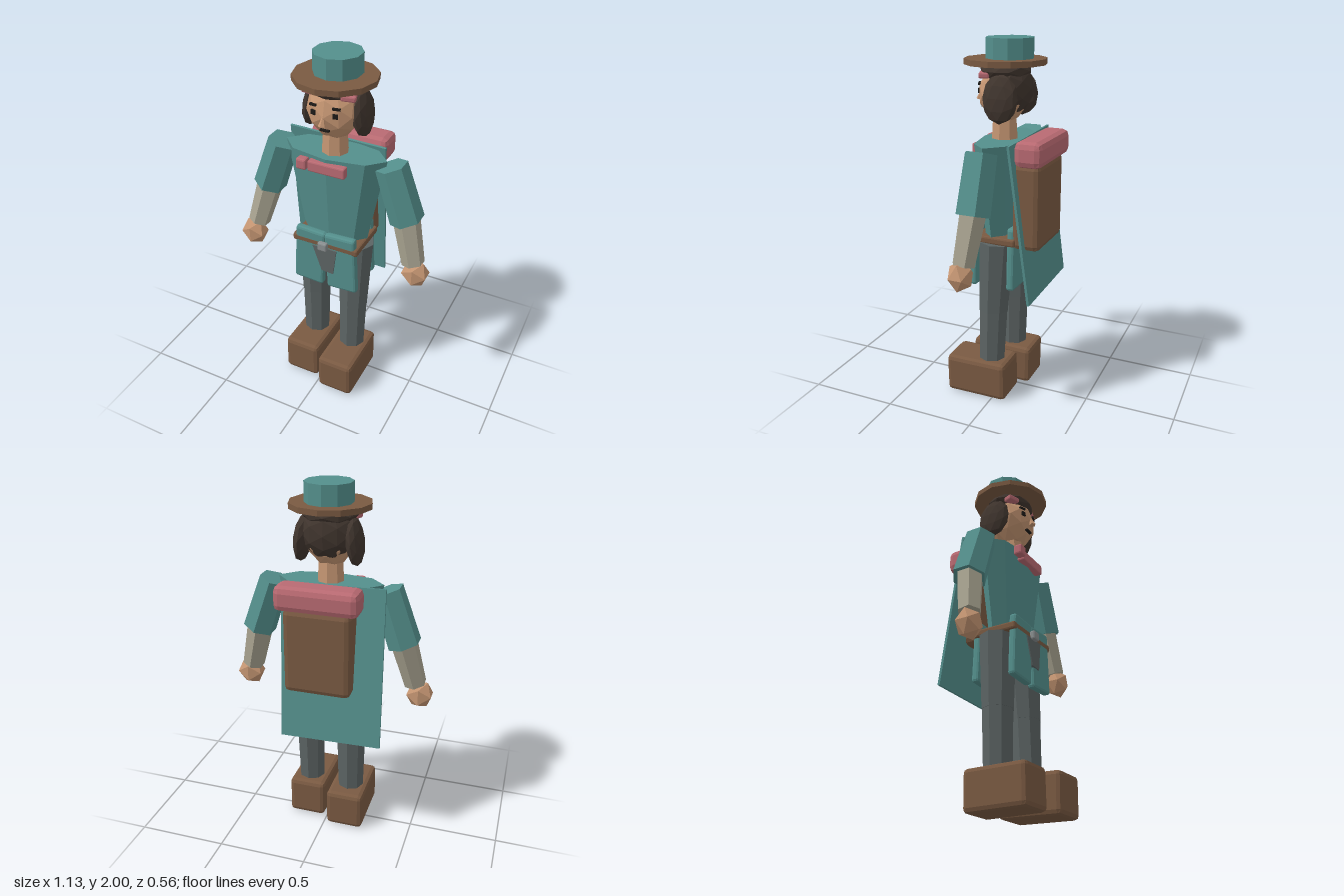
import * as THREE from 'three';
import { RoundedBoxGeometry } from 'three/addons/geometries/RoundedBoxGeometry.js';

const mat = (color) => new THREE.MeshStandardMaterial({ color, flatShading: true });
const TEAL = mat(0x548f8c), BROWN = mat(0x7a5a42), SKIN = mat(0xc49572), PINK = mat(0xb96a72);
const PALE = mat(0xa8a390), GREY = mat(0x5c6464), HAIR = mat(0x40352e), DARK = mat(0x1c1a18);
const METAL = mat(0x8a8f90);

export function createModel() {
  const model = new THREE.Group();
  model.name = 'traveller';

  const add = (name, geometry, material, pos, rot = [0, 0, 0], scale = [1, 1, 1]) => {
    const mesh = new THREE.Mesh(geometry, material);
    mesh.name = name;
    mesh.position.set(...pos);
    mesh.rotation.set(...rot);
    mesh.scale.set(...scale);
    model.add(mesh);
    return mesh;
  };
  // Box with chamfered edges
  const block = (name, material, size, pos, bevel, rot) =>
    add(name, new RoundedBoxGeometry(...size, 1, bevel), material, pos, rot);
  const box = (name, material, size, pos, rot) =>
    add(name, new THREE.BoxGeometry(...size), material, pos, rot);
  const ball = (name, material, radii, pos, detail = 1, rot) =>
    add(name, new THREE.IcosahedronGeometry(1, detail), material, pos, rot, radii);
  // Tapered limb running between two points
  const limb = (name, material, from, to, r0, r1, sides) => {
    const a = new THREE.Vector3(...from), b = new THREE.Vector3(...to);
    const mesh = add(name, new THREE.CylinderGeometry(r0, r1, a.distanceTo(b), sides), material,
      a.clone().add(b).multiplyScalar(0.5).toArray());
    mesh.quaternion.setFromUnitVectors(new THREE.Vector3(0, 1, 0), a.sub(b).normalize());
    return mesh;
  };

  // Hat
  add('hatCrown', new THREE.CylinderGeometry(0.127, 0.127, 0.115, 10), TEAL, [0, 1.9425, -0.02]);
  add('hatBrim', new THREE.CylinderGeometry(0.217, 0.217, 0.03, 12), BROWN, [0, 1.88, 0.004]);

  // Head: a faceted ball narrowing to the chin
  const headGeo = new THREE.IcosahedronGeometry(1, 1);
  const p = headGeo.attributes.position;
  for (let i = 0; i < p.count; i++) {
    const k = p.getY(i) < -0.4 ? 0.9 : 1;
    p.setXYZ(i, p.getX(i) * 0.147 * k, p.getY(i) * 0.16, p.getZ(i) * 0.135 * k);
  }
  headGeo.computeVertexNormals();
  add('head', headGeo, SKIN, [0, 1.715, 0.01]);
  limb('neck', SKIN, [0, 1.6, 0.01], [0, 1.45, 0.01], 0.065, 0.075, 8);

  // Face
  add('nose', new THREE.ConeGeometry(0.02, 0.06, 5), SKIN, [0, 1.705, 0.147], [-0.25, 0, 0]);
  box('mouth', DARK, [0.05, 0.009, 0.015], [0, 1.643, 0.126]);
  for (const s of [-1, 1]) {
    box('eye', DARK, [0.026, 0.024, 0.015], [s * 0.059, 1.73, 0.126], [0, s * 0.3, 0]);
    box('eyebrow', DARK, [0.04, 0.011, 0.015], [s * 0.063, 1.767, 0.122], [0, s * 0.3, -s * 0.08]);
  }

  // Hair: crown, back and two side locks, with ties at the temples
  ball('hairCrown', HAIR, [0.148, 0.063, 0.135], [0, 1.835, 0.002]);
  ball('hairBack', HAIR, [0.145, 0.14, 0.1], [0, 1.745, -0.04]);
  for (const s of [-1, 1]) {
    ball('hairLock', HAIR, [0.045, 0.128, 0.098], [s * 0.138, 1.705, -0.025], 1, [0, 0, s * 0.12]);
    block('hairTie', PINK, [0.075, 0.03, 0.055], [s * 0.105, 1.818, 0.075], 0.008, [0, s * 0.3, -s * 0.06]);
  }

  // Torso
  add('torso', new THREE.CylinderGeometry(0.29, 0.185, 0.54, 8), TEAL, [0, 1.21, 0.005],
    [0, 0, 0], [1, 1, 0.42]).geometry.computeBoundingBox();
  block('scarfBar', PINK, [0.21, 0.06, 0.045], [0.012, 1.43, 0.125], 0.008);
  block('scarfKnot', PINK, [0.058, 0.06, 0.05], [-0.123, 1.438, 0.138], 0.01);

  // Arms, [hand x, hand y, hand z] differing slightly per side
  for (const [s, hx, hy, hz] of [[-1, 0.497, 0.85, 0.065], [1, 0.492, 0.868, 0.035]]) {
    const elbow = [s * 0.413, 1.165, 0];
    limb('upperArm', TEAL, [s * 0.31, 1.46, 0], elbow, 0.085, 0.092, 6).scale.z = 1.05;
    limb('forearm', PALE, [s * 0.405, 1.19, 0], [s * 0.473, 0.92, hz * 0.75], 0.074, 0.062, 6);
    ball('hand', SKIN, [0.08, 0.085, 0.07], [hx * s, hy, hz], 0);
  }

  // Belt, hips and front flap
  block('belt', BROWN, [0.39, 0.042, 0.272], [0, 0.957, 0.008], 0.01);
  block('buckle', METAL, [0.055, 0.05, 0.03], [-0.003, 0.957, 0.157], 0.008);
  block('hips', GREY, [0.34, 0.2, 0.17], [0, 0.88, 0.005], 0.03);
  const flap = new THREE.Shape([[-0.07, 0.94], [0.075, 0.94], [0.055, 0.78], [-0.015, 0.785]]
    .map(([x, y]) => new THREE.Vector2(x, y)));
  add('frontFlap', new THREE.ExtrudeGeometry(flap, { depth: 0.03, bevelEnabled: false }), GREY, [0, 0, 0.12]);

  // Four hanging tunic panels
  for (const s of [-1, 1]) {
    for (const z of [0.121, -0.1]) {
      block('tunicPanel', TEAL, [0.18, 0.35, 0.045], [s * 0.095, 0.853, z], 0.014, [0, 0, s * 0.05]);
    }
  }

  // Legs and boots, the left one a short step ahead
  for (const [s, z] of [[-1, -0.005], [1, 0.025]]) {
    const knee = [s * 0.125, 0.53, z * 0.7 + 0.005];
    limb('thigh', GREY, [s * 0.125, 0.94, 0], knee, 0.102, 0.085, 8);
    limb('shin', GREY, [s * 0.125, 0.535, knee[2]], [s * 0.125, 0.2, z + 0.01], 0.083, 0.075, 8);
    block('boot', BROWN, [0.215, 0.222, 0.36], [s * 0.122, 0.114, s < 0 ? 0.043 : 0.097], 0.025, [s * 0.015, 0, 0]);
  }

  // Cape, hanging away from the back
  box('cape', TEAL, [0.56, 0.868, 0.014], [-0.056, 1.062, -0.163], [0.127, 0, -0.02]);

  // Backpack with bedroll
  block('backpack', BROWN, [0.365, 0.47, 0.155], [0, 1.155, -0.182], 0.03);
  block('bedroll', PINK, [0.452, 0.135, 0.152], [0, 1.445, -0.206], 0.035);

  return model;
}
